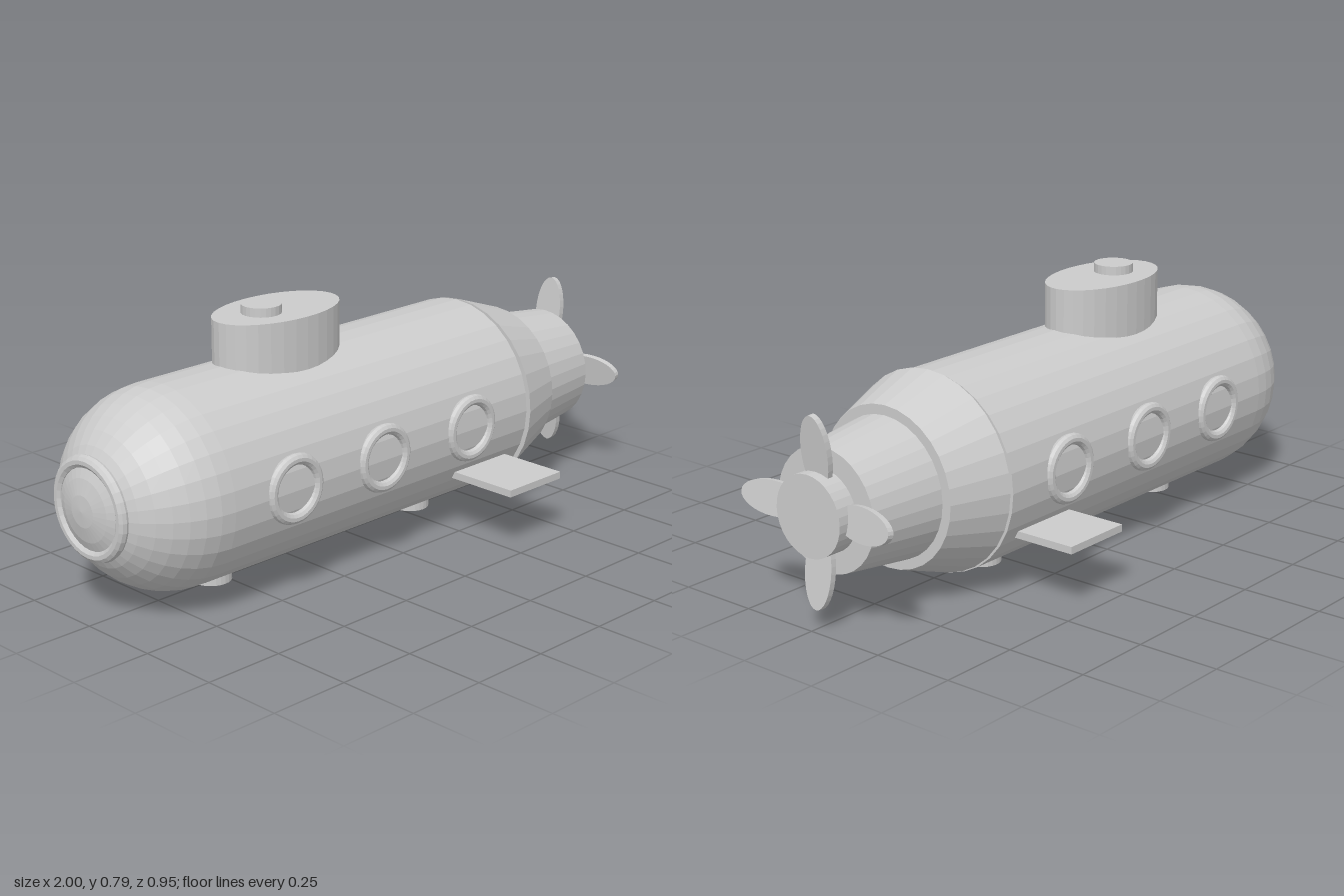
import * as THREE from 'three';

const material = new THREE.MeshStandardMaterial({ color: 0xcccccc, flatShading: true });
const AXIS_Y = 0.335;   // height of the hull axis
const HULL_Z = -0.016;  // hull sits slightly off the tail axis
const HULL_R = 0.3;

export function createModel() {
  const model = new THREE.Group();
  model.name = 'submarine';

  const add = (name, geometry, x, y, z, parent = model) => {
    const mesh = new THREE.Mesh(geometry, material);
    mesh.name = name;
    mesh.position.set(x, y, z);
    parent.add(mesh);
    return mesh;
  };

  // Solid of revolution along x from [x, radius] points
  const turned = (name, points, z) => {
    const profile = points.map(([x, r]) => new THREE.Vector2(r, -x)).reverse();
    const geometry = new THREE.LatheGeometry(profile, 32);
    geometry.rotateZ(Math.PI / 2);
    return add(name, geometry, 0, AXIS_Y, z);
  };

  // Hull: round nose, straight body, closed at the stern
  const hull = [];
  for (let i = 0; i <= 10; i++) {
    const a = (i / 10) * Math.PI / 2;
    hull.push([-0.7 - HULL_R * Math.cos(a), HULL_R * Math.sin(a)]);
  }
  hull.push([0.515, HULL_R], [0.515, 0]);
  turned('hull', hull, HULL_Z);

  // Stepped tail and propeller hub
  turned('sternCone', [[0.515, 0], [0.515, 0.303], [0.695, 0.241], [0.695, 0]], -0.003);
  turned('tailCone', [[0.69, 0], [0.69, 0.212], [0.935, 0.182], [0.935, 0]], -0.003);
  turned('propellerHub', [[0.93, 0], [0.93, 0.12], [1, 0.12], [1, 0]], -0.001);

  // Four oval propeller blades, swept back towards the tips
  const oval = new THREE.Shape();
  oval.absellipse(0, 0.17, 0.05, 0.112, 0, Math.PI * 2);
  const bladeGeometry = new THREE.ExtrudeGeometry(oval, { depth: 0.018, bevelEnabled: false, curveSegments: 16 });
  bladeGeometry.translate(0, 0, -0.009);
  bladeGeometry.rotateY(Math.PI / 2);
  const propeller = new THREE.Group();
  propeller.name = 'propeller';
  propeller.position.set(0.945, AXIS_Y + 0.004, -0.007);
  model.add(propeller);
  for (let i = 0; i < 4; i++) {
    const arm = new THREE.Group();
    arm.name = 'bladeArm';
    arm.rotation.x = i * Math.PI / 2;
    propeller.add(arm);
    const blade = add('blade', bladeGeometry, 0, 0, 0, arm);
    // Side blades are pitched so their upper edges lean forward
    const pitch = i === 1 ? 0.15 : i === 3 ? -0.15 : 0;
    blade.rotation.set(0, pitch, -0.12);
  }

  // Oval conning tower with a round hatch
  const tower = add('conningTower', new THREE.CylinderGeometry(1, 1, 0.265, 32), -0.258, 0.6315, -0.022);
  tower.scale.set(0.223, 1, 0.133);
  add('hatch', new THREE.CylinderGeometry(0.06, 0.06, 0.05, 24), -0.32, 0.766, -0.018);

  // Porthole rims on both sides, and a larger one on the nose
  const rim = new THREE.TorusGeometry(0.088, 0.017, 10, 32);
  for (const side of [1, -1]) {
    for (const x of [-0.473, -0.115, 0.261]) {
      add('portholeRim', rim, x, 0.341, HULL_Z + side * 0.294);
    }
  }
  const noseRim = add('noseWindowRim', new THREE.TorusGeometry(0.136, 0.019, 10, 32), -0.965, AXIS_Y, HULL_Z);
  noseRim.rotation.y = Math.PI / 2;

  // Diving planes
  for (const side of [1, -1]) {
    add('divingPlane', new THREE.BoxGeometry(0.23, 0.022, 0.275), 0.34, 0.189, side * 0.3375);
  }

  // Round feet under the keel
  for (const x of [-0.535, 0.305]) {
    add('foot', new THREE.CylinderGeometry(0.06, 0.06, 0.08, 24), x, 0.04, -0.013);
  }

  return model;
}
